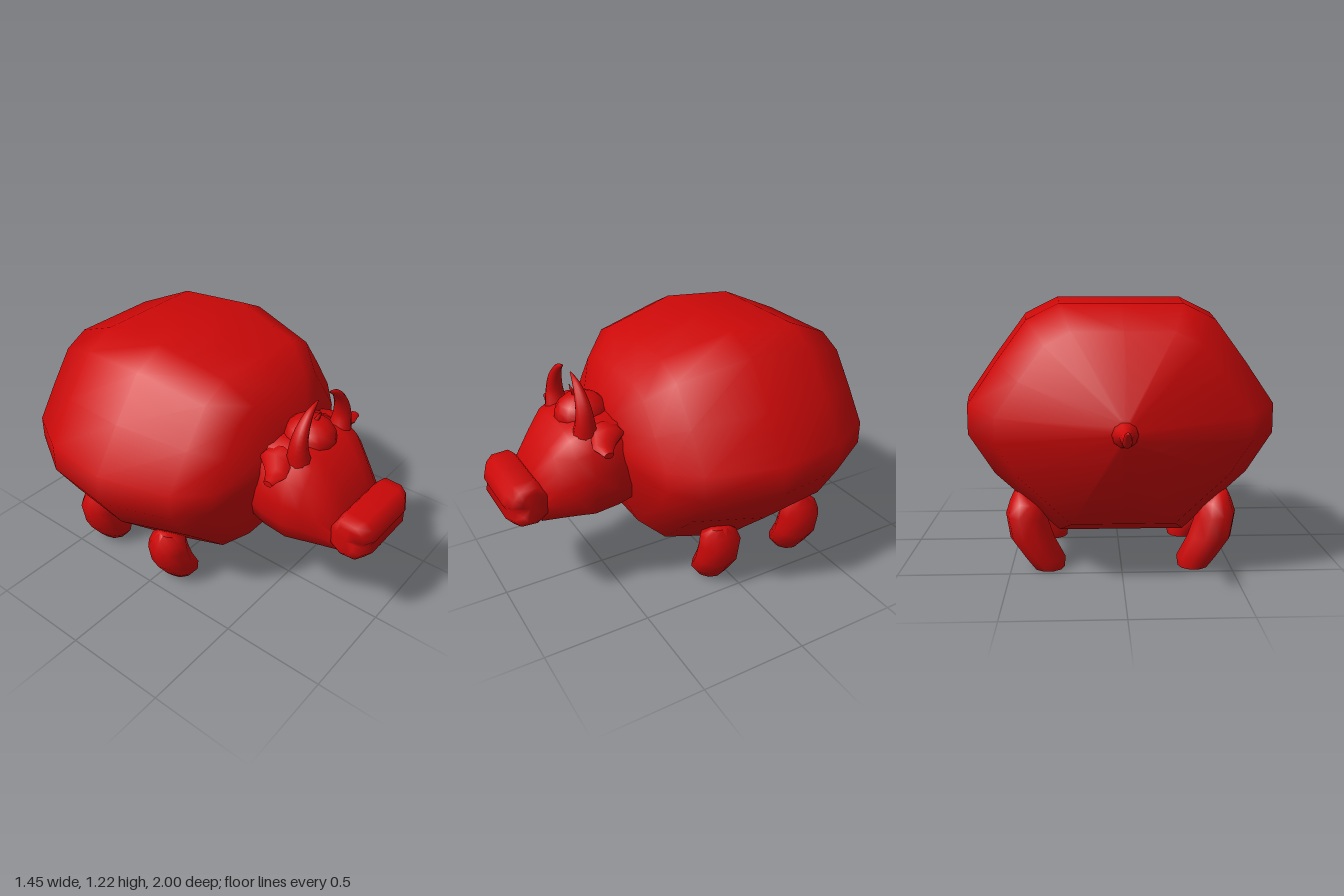
import * as THREE from 'three';
import { toCreasedNormals } from 'three/addons/utils/BufferGeometryUtils.js';

const material = new THREE.MeshStandardMaterial({ color: 0xcc0808 });

// Skin a list of rings (arrays of [x, y, z]) and close both ends with fans.
function loft(rings, crease) {
  const n = rings[0].length, pos = rings.flat(2), idx = [];
  for (let r = 0; r < rings.length - 1; r++) {
    for (let i = 0; i < n; i++) {
      const a = r * n + i, b = r * n + (i + 1) % n;
      idx.push(a, b, a + n, b, b + n, a + n);
    }
  }
  [0, rings.length - 1].forEach((r, end) => {
    const c = pos.length / 3;
    for (let k = 0; k < 3; k++) pos.push(rings[r].reduce((s, p) => s + p[k], 0) / n);
    for (let i = 0; i < n; i++) {
      const a = r * n + i, b = r * n + (i + 1) % n;
      if (end) idx.push(a, b, c); else idx.push(b, a, c);
    }
  });
  // Turn the faces outward if the enclosed volume is negative.
  let volume = 0;
  const v = i => new THREE.Vector3().fromArray(pos, i * 3);
  for (let i = 0; i < idx.length; i += 3) {
    volume += v(idx[i]).dot(v(idx[i + 1]).cross(v(idx[i + 2])));
  }
  if (volume < 0) idx.reverse();
  const g = new THREE.BufferGeometry();
  g.setAttribute('position', new THREE.Float32BufferAttribute(pos, 3));
  g.setIndex(idx);
  g.computeVertexNormals();
  return crease ? toCreasedNormals(g, crease) : g;
}

// Rings along z from a mirrored half profile; stations are [z, halfWidth, bottom, top].
function alongZ(half, stations) {
  const inner = half.filter(p => p[0] > 0).reverse().map(([x, y]) => [-x, y]);
  return stations.map(([z, w, lo, hi]) => [...half, ...inner].map(([x, y]) =>
    [x * w, (hi + lo) / 2 + y * (hi - lo) / 2, z]));
}

// Round tube of varying radius through points [x, y, z, radius].
function taperedTube(points, steps = 16, sides = 10) {
  const curve = new THREE.CatmullRomCurve3(points.map(p => new THREE.Vector3(p[0], p[1], p[2])));
  const frames = curve.computeFrenetFrames(steps);
  const rings = [];
  for (let s = 0; s <= steps; s++) {
    const t = s / steps, f = t * (points.length - 1), i = Math.min(Math.floor(f), points.length - 2);
    const r = THREE.MathUtils.lerp(points[i][3], points[i + 1][3], f - i), c = curve.getPoint(t);
    const ring = [];
    for (let k = 0; k < sides; k++) {
      const a = k / sides * Math.PI * 2;
      ring.push(c.clone().addScaledVector(frames.normals[s], r * Math.cos(a))
        .addScaledVector(frames.binormals[s], r * Math.sin(a)).toArray());
    }
    rings.push(ring);
  }
  return loft(rings);
}

// Upright limb; stations are [y, x, z, radiusX, radiusZ], each ring tilted by slope.
function limb(stations, side) {
  return loft(stations.map(([y, x, z, rx, rz, tilt]) => Array.from({ length: 10 }, (_, i) => {
    const a = i / 10 * Math.PI * 2, c = Math.cos(a);
    return [side * (x + rx * c), y + tilt * c, z + rz * Math.sin(a)];
  })), 1.1);
}

export function createModel() {
  const model = new THREE.Group();
  model.name = 'bull';
  const add = (name, geometry) => {
    const mesh = new THREE.Mesh(geometry, material);
    mesh.name = name;
    model.add(mesh);
    return mesh;
  };

  // Barrel body
  const bodyHalf = [[0, 1], [0.4, 1], [0.61, 0.86], [0.81, 0.5], [1, 0.13], [1, -0.13],
    [0.83, -0.48], [0.65, -0.7], [0.41, -1], [0, -1]];
  add('body', loft(alongZ(bodyHalf, [
    [0.475, 0.25, 0.55, 0.9], [0.385, 0.48, 0.32, 1.03], [0.27, 0.62, 0.22, 1.14],
    [-0.06, 0.725, 0.14, 1.22], [-0.39, 0.685, 0.17, 1.195], [-0.64, 0.54, 0.27, 1.085],
    [-0.775, 0.04, 0.62, 0.74]])));

  // Head tapering towards the muzzle
  const headHalf = [[0, 1], [0.4, 0.99], [0.7, 0.93], [0.9, 0.6], [1, 0.1], [1, -0.35],
    [0.87, -0.76], [0.45, -0.96], [0, -1]];
  add('head', loft(alongZ(headHalf, [
    [0.4, 0.25, 0.43, 0.87], [0.5, 0.28, 0.42, 0.88], [0.62, 0.29, 0.415, 0.87],
    [0.69, 0.265, 0.42, 0.84], [0.76, 0.225, 0.42, 0.76], [0.84, 0.185, 0.425, 0.65]]), 1.1));

  // Muzzle: side outline [z, y] swept across x with rounded ends
  const lip = [[0.8, 0.6], [0.85, 0.66], [0.95, 0.655], [0.985, 0.62], [1, 0.57], [0.98, 0.535],
    [0.995, 0.505], [0.96, 0.465], [0.87, 0.46], [0.8, 0.5]];
  const lipRings = [[0.21, 0.45], [0.195, 0.8], [0.14, 1], [0, 1]];
  const across = [...lipRings, ...lipRings.slice(0, 3).reverse().map(([x, s]) => [-x, s])];
  add('muzzle', loft(across.map(([x, s]) => lip.map(([z, y]) => {
    const pinch = 1 - 0.12 * Math.exp(-(((y - 0.545) / 0.03) ** 2));
    return [x * pinch, 0.565 + (y - 0.565) * (0.4 + 0.6 * s), 0.88 + (z - 0.88) * s];
  }))));

  // Lower jaw
  const jaw = add('lowerJaw', new THREE.SphereGeometry(1, 20, 12));
  jaw.scale.set(0.15, 0.05, 0.08);
  jaw.position.set(0, 0.455, 0.89);

  // Tuft on the poll with a small curl
  const tuft = add('tuft', new THREE.SphereGeometry(1, 14, 10));
  tuft.scale.set(0.12, 0.1, 0.125);
  tuft.position.set(0, 0.855, 0.555);
  add('tuftCurl', taperedTube([[0, 0.94, 0.58, 0.012], [0.005, 0.965, 0.59, 0.009],
    [0.003, 0.985, 0.6, 0.006], [-0.008, 0.998, 0.6, 0.002]], 8, 6));

  // Horns, ears and legs on both sides
  for (const s of [1, -1]) {
    const label = s > 0 ? 'left' : 'right';
    add(label + 'Horn', taperedTube([[0.165, 0.82, 0.61, 0.058], [0.175, 0.91, 0.61, 0.042],
      [0.155, 0.98, 0.61, 0.032], [0.105, 1.045, 0.61, 0.018], [0.045, 1.078, 0.61, 0.003]]
      .map(([x, y, z, r]) => [s * x, y, z, r])));

    // Leaf-like ear, stations [x, y, z, radiusY, radiusZ]
    add(label + 'Ear', loft([[0.17, 0.82, 0.53, 0.055, 0.08], [0.23, 0.825, 0.53, 0.04, 0.08],
      [0.28, 0.81, 0.57, 0.025, 0.055], [0.32, 0.81, 0.58, 0.016, 0.035],
      [0.355, 0.805, 0.585, 0.014, 0.022]].map(([x, y, z, ry, rz]) =>
      Array.from({ length: 8 }, (_, i) => {
        const a = i / 8 * Math.PI * 2;
        return [s * x, y + ry * Math.cos(a), z + rz * Math.sin(a)];
      })), 1.1));

    for (const [name, z, lift] of [['FrontLeg', 0.07, 1], ['RearLeg', -0.4, 1.06]]) {
      add(label + name, limb([
        [0, 0.33, z - 0.01, 0.07, 0.07, 0],
        [0.05, 0.35, z, 0.095, 0.098, 0.005],
        [0.14, 0.405, z, 0.1, 0.104, 0],
        [0.23 * lift, 0.43, z, 0.093, 0.105, 0.01],
        [0.29 * lift, 0.43, z + 0.01, 0.075, 0.09, 0.005],
        [0.335 * lift, 0.455, z + 0.02, 0.03, 0.045, 0]], s));
    }
  }

  // Tail with an upturned tip
  add('tail', taperedTube([[0, 0.68, -0.76, 0.06], [0, 0.685, -0.83, 0.028],
    [0, 0.678, -0.89, 0.022], [0, 0.682, -0.94, 0.02], [0, 0.715, -0.97, 0.014],
    [0, 0.728, -0.995, 0.006]]));

  return model;
}
